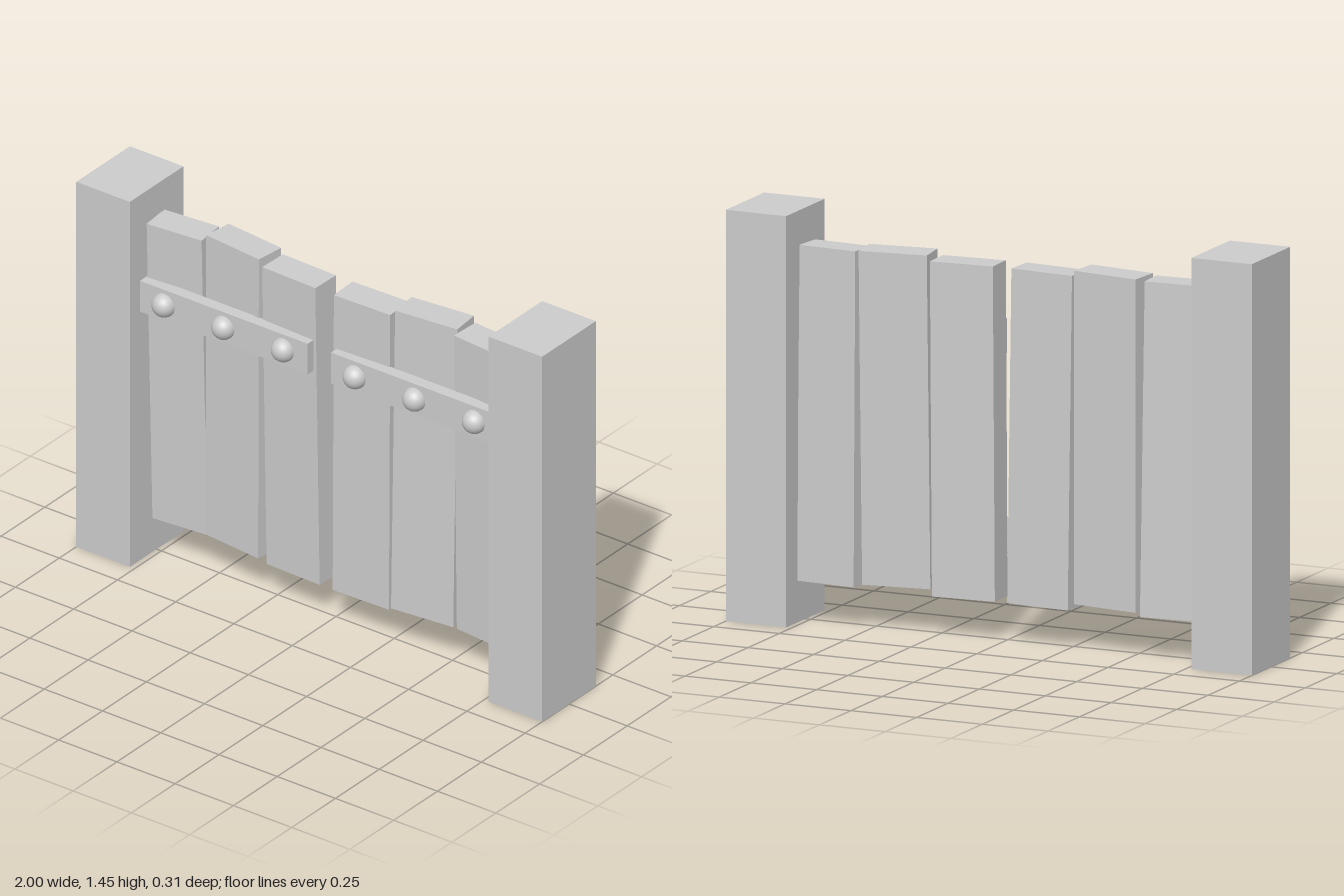
import * as THREE from 'three';

export function createModel() {
  const model = new THREE.Group();
  model.name = 'plankGate';
  const flat = new THREE.MeshStandardMaterial({ color: 0xcccccc, flatShading: true });
  const smooth = new THREE.MeshStandardMaterial({ color: 0xcccccc });

  const add = (parent, name, geometry, material, x, y, z) => {
    const mesh = new THREE.Mesh(geometry, material);
    mesh.name = name;
    mesh.position.set(x, y, z);
    parent.add(mesh);
    return mesh;
  };

  // Planks of one door, from the gap outwards: each slightly crooked
  const planks = [
    { name: 'innerPlank', x: 0.149, y: 0.728, z: 0.0, w: 0.235, tilt: [0.008, 0.04, -0.01] },
    { name: 'middlePlank', x: 0.406, y: 0.747, z: -0.011, w: 0.248, tilt: [-0.011, 0.11, -0.006] },
    { name: 'outerPlank', x: 0.654, y: 0.735, z: -0.012, w: 0.223, tilt: [0.021, -0.08, -0.005] },
  ];

  for (const [side, label] of [[1, 'left'], [-1, 'right']]) {
    // Square gate post
    add(model, label + 'Post', new THREE.BoxGeometry(0.23, 1.445, 0.306), flat, side * 0.885, 0.7225, 0);

    const door = new THREE.Group();
    door.name = label + 'Door';
    model.add(door);

    for (const p of planks) {
      const plank = add(door, p.name, new THREE.BoxGeometry(p.w, 1.175, 0.112), flat, side * p.x, p.y, p.z);
      plank.rotation.set(p.tilt[0], side * p.tilt[1], side * p.tilt[2]);
    }

    // Cross strap with three domed rivets
    add(door, 'strap', new THREE.BoxGeometry(0.72, 0.122, 0.045), flat, side * 0.41, 1.045, 0.0725);
    for (const x of [0.154, 0.41, 0.666]) {
      add(door, 'rivet', new THREE.SphereGeometry(0.044, 24, 16), smooth, side * x, 1.047, 0.095);
    }
  }
  return model;
}
